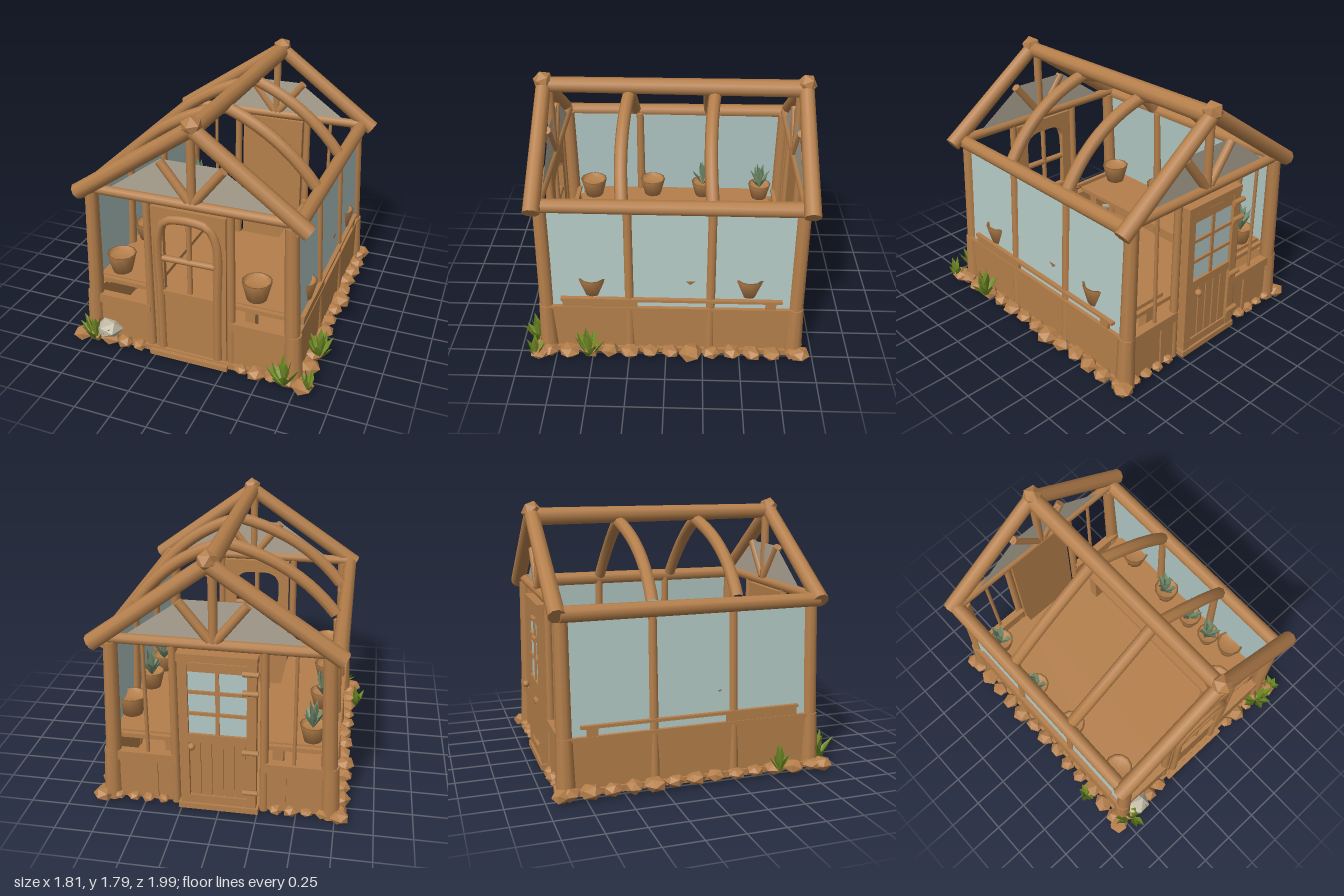
import * as THREE from 'three';

const mat = (name, color, double) => {
  const m = new THREE.MeshStandardMaterial({ color });
  m.name = name;
  if (double) m.side = THREE.DoubleSide;
  return m;
};

export function createModel() {
  const wood = mat('wood', 0xb57f4b);
  const glass = mat('glass', 0xb3c9c5, true);
  const gablePane = mat('gable pane', 0xb0a695, true);
  const leaf = mat('leaf green', 0x708c24, true);
  const herb = mat('pale leaf', 0x728c6c, true);
  const stone = mat('grey stone', 0xc0b8a4);

  const root = new THREE.Group();
  let seed = 7;
  const rnd = () => (seed = (seed * 16807) % 2147483647) / 2147483647;
  const V = (x, y, z) => new THREE.Vector3(x, y, z);

  const add = (name, geo, m = wood, x = 0, y = 0, z = 0, parent = root) => {
    const mesh = new THREE.Mesh(geo, m);
    mesh.name = name;
    mesh.position.set(x, y, z);
    parent.add(mesh);
    return mesh;
  };
  // box given by its limits
  const box = (name, x0, x1, y0, y1, z0, z1, m = wood) =>
    add(name, new THREE.BoxGeometry(x1 - x0, y1 - y0, z1 - z0), m, (x0 + x1) / 2, (y0 + y1) / 2, (z0 + z1) / 2);
  // tapered round timber between two points
  const log = (name, a, b, r0, r1 = r0, sides = 9) => {
    const p = V(...a), q = V(...b);
    const mesh = add(name, new THREE.CylinderGeometry(r1, r0, p.distanceTo(q), sides));
    mesh.position.copy(p).add(q).multiplyScalar(0.5);
    mesh.quaternion.setFromUnitVectors(V(0, 1, 0), q.sub(p).normalize());
    return mesh;
  };
  // flat panel from corner points
  const panel = (name, pts, m) => {
    const g = new THREE.BufferGeometry().setFromPoints(pts.map((p) => V(...p)));
    g.setIndex([0, 1, 2, 0, 2, 3]);
    g.computeVertexNormals();
    return add(name, g, m);
  };

  // floor
  box('floor', -0.76, 0.76, 0.03, 0.07, -0.87, 0.84);

  // long sides: low wall, leaning glass, posts, eave and bench
  for (const s of [-1, 1]) {
    box('sideLowWall', s * 0.72 - 0.02, s * 0.72 + 0.02, 0.05, 0.4, -0.85, 0.8);
    box('sideSill', s * 0.72 - 0.03, s * 0.72 + 0.03, 0.385, 0.405, -0.85, 0.8);
    panel('sideGlass', [[s * 0.725, 0.4, 0.78], [s * 0.725, 0.4, -0.84], [s * 0.685, 1.15, -0.84], [s * 0.685, 1.15, 0.78]], glass);
    for (const z of [0.245, -0.295]) log('sidePost', [s * 0.725, 0.04, z], [s * 0.685, 1.16, z], 0.035, 0.028);
    for (const z of [0.8, -0.865]) {
      log('cornerPost', [s * 0.715, 0.03, z], [s * 0.675, 1.17, z], 0.055, 0.045);
      log('cornerPostFoot', [s * 0.72, 0.03, z], [s * 0.71, 0.4, z], 0.065, 0.054);
    }
    const ex = s > 0 ? 0.705 : -0.725;
    log('eaveBeam', [ex, 1.17, -0.88], [ex, 1.17, 0.83], 0.052, 0.046);
    box('bench', Math.min(s * 0.29, s * 0.7), Math.max(s * 0.29, s * 0.7), 0.455, 0.485, -0.77, 0.71);
    box('benchRail', s * 0.71 - 0.04, s * 0.71 + 0.04, 0.455, 0.475, -0.77, 0.7);
    box('benchTray', s * 0.7 - 0.045, s * 0.7 + 0.045, 0.4, 0.455, 0.19, 0.69);
    for (const z of [-0.69, 0.6]) box('benchLeg', s * 0.36 - 0.035, s * 0.36 + 0.035, 0.06, 0.46, z - 0.035, z + 0.035);
    box('benchFoot', s * 0.71 - 0.035, s * 0.71 + 0.035, 0.4, 0.455, -0.73, -0.66);

    // arched roof braces
    for (const z of [0.28, -0.29]) {
      const c = new THREE.QuadraticBezierCurve3(V(0.05, 1.65, z - 0.015), V(s * 0.42 + 0.02, 1.53, z + 0.03), V(s * 0.67, 1.2, z));
      add('roofBrace', new THREE.TubeGeometry(c, 10, 0.042, 8));
    }
  }
  log('ridgeBeam', [0.05, 1.695, -0.9], [0.05, 1.705, 0.84], 0.06, 0.052);

  // end frames: front and back
  for (const [z, o] of [[0.8, 1], [-0.87, -1]]) {
    const rz = z + o * 0.03;
    log('rafterLeft', [0.02, 1.735, rz], [0.79, 1.165, rz], 0.05, 0.055);
    log('rafterRight', [0.08, 1.735, rz], [-0.76, 1.165, rz], 0.05, 0.055);
    add('ridgeKnot', new THREE.IcosahedronGeometry(0.07), wood, 0.055, 1.73, rz).rotation.set(0.3, 0.2, 0.5);
    log('tieBeam', [-0.72, 1.19, z], [0.72, 1.195, z], 0.034);
    log('kingPost', [0.03, 1.2, z], [0.03, 1.68, z], 0.029);
    for (const s of [-1, 1]) {
      log('gableBrace', [0.03 + s * 0.02, 1.22, z], [0.03 + s * 0.21, 1.46, z], 0.032, 0.03);
      log('doorPost', [s * 0.29, 0.03, z], [s * 0.285, 1.18, z], 0.03, 0.026);
      const a = Math.min(s * 0.28, s * 0.7), b = Math.max(s * 0.28, s * 0.7);
      box('endLowWall', a, b, 0.05, 0.34, z - 0.018, z + 0.018);
      box('endSill', a, b, 0.33, 0.395, z - 0.03, z + 0.03);
      box('endRail', a, b, 0.465, 0.495, z - o * 0.05 - 0.015, z - o * 0.05 + 0.015);
    }
    panel('gablePane', [[-0.54, 1.215, z - o * 0.012], [0.58, 1.215, z - o * 0.012], [0.22, 1.47, z - o * 0.012], [-0.18, 1.47, z - o * 0.012]], gablePane);
  }
  for (const x of [-0.48, 0.47]) log('backWindowBar', [x, 0.38, -0.87], [x, 1.17, -0.87], 0.013, 0.013, 6);
  for (const x of [-0.42, 0.42]) box('backWallBatten', x - 0.015, x + 0.015, 0.05, 0.36, -0.9, -0.87);

  // front door with arched window
  const door = new THREE.Shape();
  door.moveTo(-0.25, 0.06).lineTo(0.26, 0.06).lineTo(0.26, 1.15).lineTo(-0.25, 1.15).closePath();
  const hole = new THREE.Path();
  hole.moveTo(-0.17, 0.54).lineTo(-0.17, 0.97).quadraticCurveTo(-0.15, 1.05, -0.06, 1.055);
  hole.lineTo(0.06, 1.055).quadraticCurveTo(0.15, 1.05, 0.17, 0.97).lineTo(0.17, 0.54).closePath();
  door.holes.push(hole);
  add('frontDoor', new THREE.ExtrudeGeometry(door, { depth: 0.035, bevelEnabled: false, curveSegments: 6 }), wood, 0, 0, 0.785);
  const rim = new THREE.CatmullRomCurve3([[-0.2, 0.08], [-0.2, 0.5], [-0.2, 0.95], [-0.15, 1.06], [-0.06, 1.085], [0.06, 1.085], [0.15, 1.06], [0.2, 0.95], [0.2, 0.5], [0.2, 0.08]].map(([x, y]) => V(x, y, 0.82)));
  add('frontDoorFrame', new THREE.TubeGeometry(rim, 40, 0.03, 7));
  log('frontDoorCrossbar', [-0.18, 0.78, 0.81], [0.18, 0.785, 0.81], 0.022);
  log('frontDoorMullion', [0.005, 0.54, 0.805], [0.005, 1.06, 0.805], 0.018);
  box('frontDoorLedge', -0.18, 0.18, 0.515, 0.545, 0.79, 0.835);
  box('frontStep', -0.28, 0.28, 0.025, 0.06, 0.77, 0.87);

  // back door with planks, six panes and hinges
  box('backDoor', -0.23, 0.23, 0.07, 1.1, -0.9, -0.87);
  box('backDoorLintel', -0.25, 0.25, 1.1, 1.15, -0.935, -0.86);
  box('backStep', -0.26, 0.26, 0.03, 0.07, -0.94, -0.86);
  for (const s of [-1, 1]) box('backDoorStile', s * 0.215 - 0.03, s * 0.215 + 0.03, 0.07, 1.1, -0.93, -0.87);
  for (const y of [0.1, 0.56, 1.06]) box('backDoorRail', -0.2, 0.2, y - 0.03, y + 0.03, -0.925, -0.88);
  for (let i = 0; i < 5; i++) box('backDoorPlank', -0.175 + i * 0.072, -0.113 + i * 0.072, 0.12, 0.54, -0.915, -0.89);
  box('backDoorGlass', -0.185, 0.185, 0.59, 1.03, -0.907, -0.9, glass);
  box('backDoorMullion', -0.012, 0.012, 0.59, 1.03, -0.92, -0.9);
  for (const y of [0.735, 0.885]) box('backDoorBar', -0.185, 0.185, y - 0.011, y + 0.011, -0.92, -0.9);
  for (const y of [0.2, 0.5, 0.92, 1.05]) log('backDoorHinge', [-0.26, y, -0.945], [-0.16, y, -0.945], 0.018, 0.018, 7);
  add('backDoorHandle', new THREE.IcosahedronGeometry(0.025, 1), wood, 0.16, 0.52, -0.96);

  // stones round the base
  const rock = (x, z, r, m = wood, y = 0.06) => {
    const k = add('baseStone', new THREE.IcosahedronGeometry(r), m, x, y, z);
    k.scale.set(0.9 + rnd() * 0.3, 0.6 + rnd() * 0.2, 0.9 + rnd() * 0.3);
    k.rotation.y = rnd() * 6;
  };
  for (const s of [-1, 1]) {
    for (let i = 0; i < 13; i++) rock(s * (0.765 + rnd() * 0.02), -0.86 + i * 0.138, 0.055 + rnd() * 0.02);
    for (let i = 0; i < 5; i++) {
      rock(s * (0.37 + i * 0.11), 0.845, 0.045 + rnd() * 0.02);
      rock(s * (0.37 + i * 0.1), -0.9, 0.04 + rnd() * 0.015);
    }
    rock(s * 0.8, 0.86, 0.075);
    rock(s * 0.78, -0.91, 0.065);
  }
  rock(-0.6, 0.84, 0.085, stone, 0.14);

  // leaf rosettes: each blade is a folded diamond strip
  const plant = (name, x, y, z, h, spread, n, m) => {
    const g = new THREE.Group();
    g.name = name;
    g.position.set(x, y, z);
    for (let i = 0; i < n; i++) {
      const out = spread * (i % 3 === 0 ? 0.35 : 0.8 + rnd() * 0.3), up = h * (i % 3 === 0 ? 1 : 0.5 + rnd() * 0.35), w = h * 0.13;
      const pts = [V(0, 0, 0), V(out * 0.5, up * 0.62, w), V(out, up, 0), V(out * 0.5, up * 0.62, -w), V(out * 0.6, up * 0.54, 0)];
      const geo = new THREE.BufferGeometry().setFromPoints(pts);
      geo.setIndex([0, 1, 4, 1, 2, 4, 4, 2, 3, 0, 4, 3]);
      const flat = geo.toNonIndexed();
      flat.computeVertexNormals();
      add('leaf', flat, m, 0, 0, 0, g).rotation.y = (i / n) * Math.PI * 2 + rnd() * 0.4;
    }
    root.add(g);
  };
  plant('groundPlant', -0.69, 0.03, 0.88, 0.22, 0.13, 11, leaf);
  plant('groundPlant', 0.68, 0.03, 0.88, 0.23, 0.13, 11, leaf);
  plant('groundPlant', 0.82, 0.03, 0.52, 0.23, 0.11, 11, leaf);
  plant('groundPlant', -0.84, 0.05, 0.53, 0.19, 0.07, 7, leaf);
  plant('groundPlant', 0.84, 0.04, 0.88, 0.18, 0.07, 6, leaf);

  // flower pots with pale plants
  const pot = new THREE.LatheGeometry([[0, 0], [0.065, 0], [0.098, 0.13], [0.085, 0.13], [0.078, 0.1], [0, 0.1]].map(([x, y]) => new THREE.Vector2(x, y)), 12);
  const pots = [[0.67, 0.49, 1], [0.61, 0.12, 0.9, 1], [0.63, -0.16, 0.95, 1], [0.66, -0.55, 1.05], [0.4, 0.62, 1.05],
    [-0.59, 0.62, 1.05], [-0.62, 0.15, 1], [-0.61, -0.25, 0.9, 1], [-0.58, -0.7, 0.9, 1], [0.61, 0.32, 0.85, 1]];
  for (const [x, z, k, planted] of pots) {
    add('flowerPot', pot, wood, x, 0.485, z).scale.setScalar(k);
    if (planted) plant('pottedPlant', x, 0.57, z, 0.2, 0.09, 10, herb);
  }

  return root;
}
